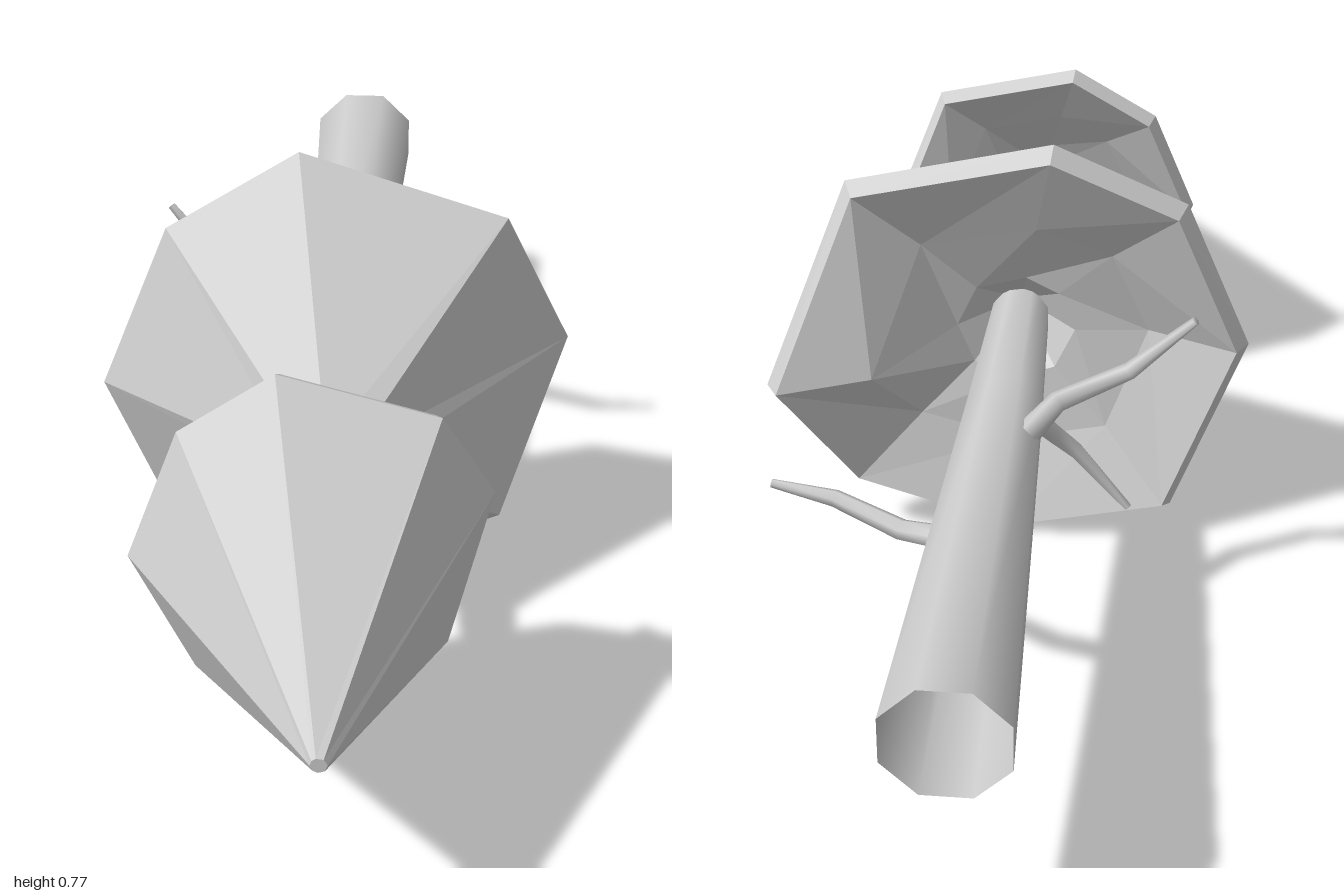
import * as THREE from 'three';

const flat = new THREE.MeshStandardMaterial({ color: 0xcccccc, flatShading: true, side: THREE.DoubleSide });
const smooth = new THREE.MeshStandardMaterial({ color: 0xcccccc, side: THREE.DoubleSide });

function add(group, name, geometry, material) {
  const mesh = new THREE.Mesh(geometry, material);
  mesh.name = name;
  group.add(mesh);
}

// Faceted cone of foliage: small tip ring, uneven rim, rim thickness, dished underside
// with a deeper hole around the trunk. rim: corners [x, y, z] clockwise from the front.
function foliage({ rim, tip, tipRadius, thickness, dishScale, dishDepth, collarRadius, collarZ, hubZ }) {
  const n = rim.length;
  const corners = rim.map(p => new THREE.Vector3(...p));
  const tipPoint = new THREE.Vector3(...tip);
  const collar = new THREE.Vector3(0.003, 0.378, collarZ);
  const hub = new THREE.Vector3(0.003, 0.378, hubZ);
  const around = (c, r) => corners.map(p => {
    const d = new THREE.Vector2(p.x - c.x, p.y - c.y).setLength(r);
    return new THREE.Vector3(c.x + d.x, c.y + d.y, c.z);
  });
  const inset = (s, dz) => corners.map(p => new THREE.Vector3(
    hub.x + (p.x - hub.x) * s, hub.y + (p.y - hub.y) * s, p.z + dz));
  const rings = [
    around(tipPoint, tipRadius),
    corners,
    inset(0.95, -thickness),
    inset(dishScale, dishDepth),
    around(collar, collarRadius),
    around(hub, 0.03),
  ];
  const pos = [];
  const tri = (...pts) => pts.forEach(p => pos.push(p.x, p.y, p.z));
  for (let i = 0; i < n; i++) {
    const j = (i + 1) % n;
    tri(tipPoint, rings[0][j], rings[0][i]);
    for (let k = 0; k + 1 < rings.length; k++) {
      const a = rings[k], b = rings[k + 1];
      tri(a[i], a[j], b[j]);
      tri(a[i], b[j], b[i]);
    }
  }
  const g = new THREE.BufferGeometry();
  g.setAttribute('position', new THREE.Float32BufferAttribute(pos, 3));
  g.computeVertexNormals();
  return g;
}

// Smooth tapered tube through stations [x, y, z, radius], closed at its far end
function limb(stations, sides) {
  const pts = stations.map(s => new THREE.Vector3(s[0], s[1], s[2]));
  const pos = [], index = [];
  pts.forEach((p, k) => {
    const dir = pts[Math.min(k + 1, pts.length - 1)].clone().sub(pts[Math.max(k - 1, 0)]).normalize();
    const q = new THREE.Quaternion().setFromUnitVectors(new THREE.Vector3(0, 0, 1), dir);
    for (let i = 0; i < sides; i++) {
      const t = (i + 0.5) / sides * Math.PI * 2;
      const v = new THREE.Vector3(Math.cos(t), Math.sin(t), 0).multiplyScalar(stations[k][3]);
      v.applyQuaternion(q).add(p);
      pos.push(v.x, v.y, v.z);
      if (k + 1 < pts.length) {
        const a = k * sides + i, b = k * sides + (i + 1) % sides;
        index.push(a, b, b + sides, a, b + sides, a + sides);
      }
    }
  });
  const end = (pts.length - 1) * sides;
  for (let i = 1; i + 1 < sides; i++) index.push(end, end + i, end + i + 1);
  const g = new THREE.BufferGeometry();
  g.setAttribute('position', new THREE.Float32BufferAttribute(pos, 3));
  g.setIndex(index);
  g.computeVertexNormals();
  return g;
}

export function createModel() {
  const tree = new THREE.Group();
  tree.name = 'fallenTree';

  // Trunk lies along z, open at its cut end
  add(tree, 'trunk', limb([
    [0.001, 0.374, -1, 0.098], [-0.002, 0.375, -0.2, 0.064],
    [0, 0.375, 0.3, 0.042], [0.01, 0.378, 0.69, 0.032],
  ], 8), smooth);

  // Wide lower foliage
  add(tree, 'lowerFoliage', foliage({
    rim: [
      [-0.065, 0.775, -0.045], [0.275, 0.68, -0.015], [0.39, 0.38, -0.168], [0.28, 0.105, -0.018],
      [0.005, 0.001, 0.005], [-0.27, 0.066, 0], [-0.39, 0.38, 0.03], [-0.28, 0.655, 0],
    ],
    tip: [0.005, 0.38, 0.28], tipRadius: 0.05,
    thickness: 0.032, dishScale: 0.57, dishDepth: 0.03,
    collarRadius: 0.1, collarZ: 0.05, hubZ: 0.12,
  }), flat);

  // Pointed upper foliage
  add(tree, 'upperFoliage', foliage({
    rim: [
      [-0.065, 0.663, 0.475], [0.178, 0.603, 0.485], [0.262, 0.398, 0.36], [0.195, 0.197, 0.475],
      [0.005, 0.116, 0.485], [-0.193, 0.154, 0.5], [-0.285, 0.373, 0.525], [-0.21, 0.57, 0.49],
    ],
    tip: [0.029, 0.381, 1], tipRadius: 0.012,
    thickness: 0.026, dishScale: 0.58, dishDepth: 0.05,
    collarRadius: 0.07, collarZ: 0.6, hubZ: 0.65,
  }), flat);

  // Bare twigs
  const twigs = {
    leftTwig: [[0.04, 0.335, -0.5], [0.13, 0.33, -0.475], [0.24, 0.342, -0.42], [0.34, 0.357, -0.41]],
    upperTwig: [[-0.045, 0.405, -0.315], [-0.09, 0.435, -0.26], [-0.2, 0.465, -0.207], [-0.3, 0.58, -0.236]],
    lowerTwig: [[-0.03, 0.345, -0.15], [-0.07, 0.27, -0.1], [-0.11, 0.21, -0.065], [-0.2, 0.11, -0.08]],
  };
  const radii = [0.021, 0.017, 0.014, 0.007];
  for (const [name, path] of Object.entries(twigs)) {
    add(tree, name, limb(path.map((p, i) => [...p, radii[i]]), 6), smooth);
  }
  return tree;
}
